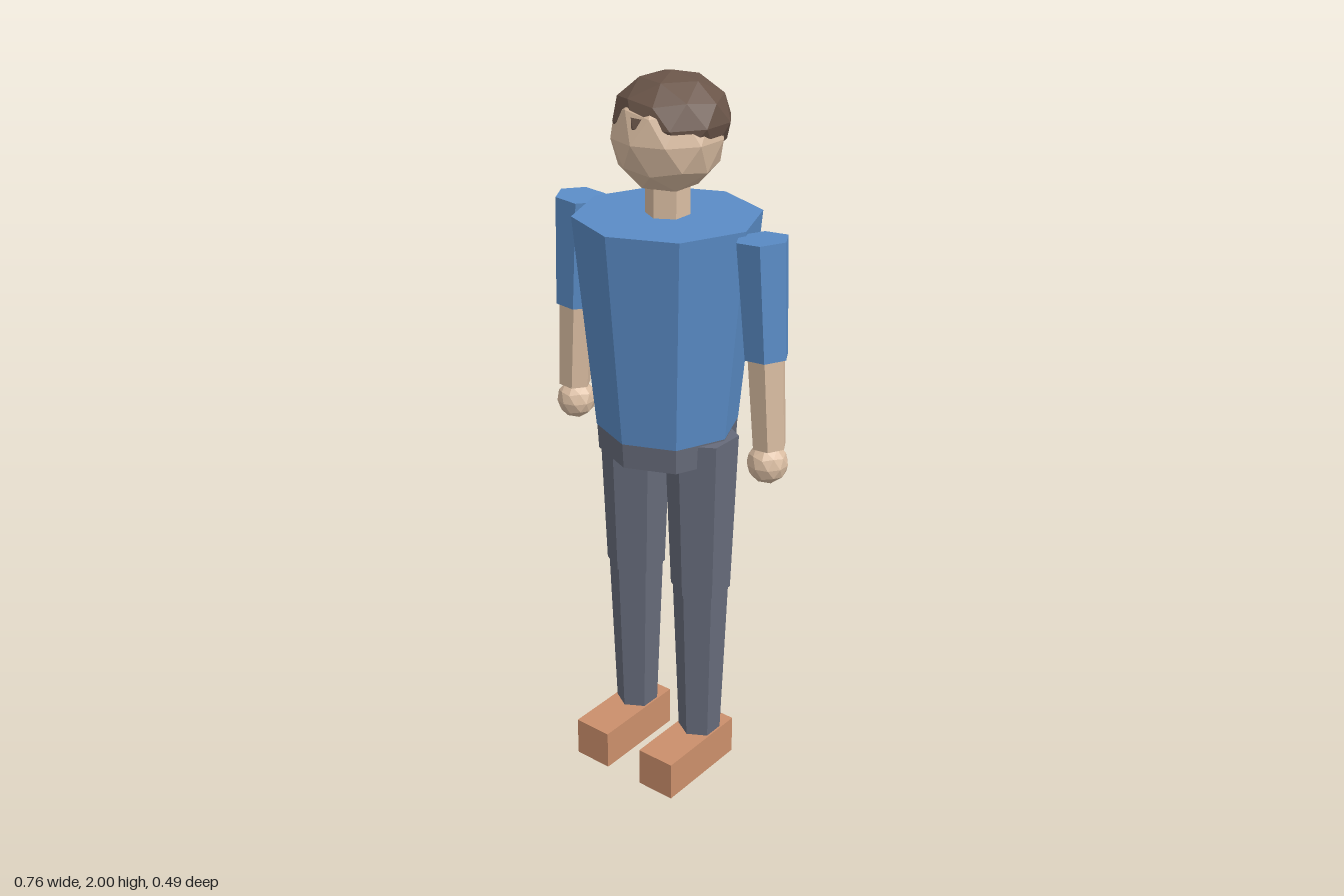
import * as THREE from 'three';

const mat = (name, color) => Object.assign(new THREE.MeshStandardMaterial({ color }), { name });

// Faceted normals for every geometry
function flat(geo) {
  const g = geo.index ? geo.toNonIndexed() : geo;
  g.computeVertexNormals();
  return g;
}

function part(name, geo, material, x = 0, y = 0, z = 0) {
  const m = new THREE.Mesh(flat(geo), material);
  m.name = name;
  m.position.set(x, y, z);
  return m;
}

// Tapered prism from point a (radius ra) down to point b (radius rb)
function limb(name, material, a, b, ra, rb, sides = 6, turn = 0) {
  const top = new THREE.Vector3(...a), bottom = new THREE.Vector3(...b);
  const axis = top.clone().sub(bottom);
  const geo = new THREE.CylinderGeometry(ra, rb, axis.length(), sides);
  geo.rotateY(turn);
  const m = part(name, geo, material);
  m.position.copy(top).add(bottom).multiplyScalar(0.5);
  m.quaternion.setFromUnitVectors(new THREE.Vector3(0, 1, 0), axis.normalize());
  return m;
}

// Low-poly ball with one corner at the pole
function ball(r, squash = 1) {
  const g = new THREE.IcosahedronGeometry(r, 1);
  g.rotateX(-Math.atan((1 + Math.sqrt(5)) / 2));
  g.rotateY(Math.PI / 2);
  g.scale(1, squash, 1);
  return g;
}

export function createModel() {
  const shirt = mat('shirt blue', 0x5a8cc6);
  const skin = mat('skin', 0xdabda2);
  const trousers = mat('trouser grey', 0x666b7a);
  const shoe = mat('shoe tan', 0xcb8f6b);
  const hair = mat('hair brown', 0x6a5549);
  const model = new THREE.Group();
  model.name = 'standingMan';

  // Head, hair and neck
  model.add(
    part('head', ball(0.147), skin, 0, 1.843, 0),
    part('hair', ball(0.153, 0.765), hair, 0, 1.883, -0.0175),
    limb('neck', skin, [0, 1.74, 0], [0, 1.62, 0], 0.058, 0.058),
  );

  // Body
  model.add(
    limb('torso', shirt, [0, 1.64, 0], [0, 1.06, 0], 0.246, 0.192, 8),
    limb('hips', trousers, [0, 1.065, 0], [0, 0.99, 0], 0.191, 0.187, 8),
  );

  // Arms, legs and shoes on both sides
  for (const [side, s] of [['left', 1], ['right', -1]]) {
    const arm = new THREE.Group();
    arm.name = side + 'Arm';
    arm.add(
      limb('sleeve', shirt, [s * 0.295, 1.632, 0], [s * 0.317, 1.328, 0], 0.07, 0.06, 6, Math.PI / 2),
      limb('forearm', skin, [s * 0.316, 1.34, 0], [s * 0.334, 1.083, 0], 0.052, 0.046, 6, Math.PI / 2),
      part('hand', ball(0.055), skin, s * 0.33, 1.035, 0),
    );
    const leg = new THREE.Group();
    leg.name = side + 'Leg';
    leg.add(
      limb('thigh', trousers, [s * 0.115, 1.055, 0], [s * 0.116, 0.59, 0], 0.1, 0.083),
      limb('shin', trousers, [s * 0.116, 0.6, 0], [s * 0.117, 0.11, 0], 0.078, 0.06),
      part('shoe', new THREE.BoxGeometry(0.115, 0.115, 0.29), shoe, s * 0.117, 0.0575, 0.06),
    );
    model.add(arm, leg);
  }
  return model;
}
